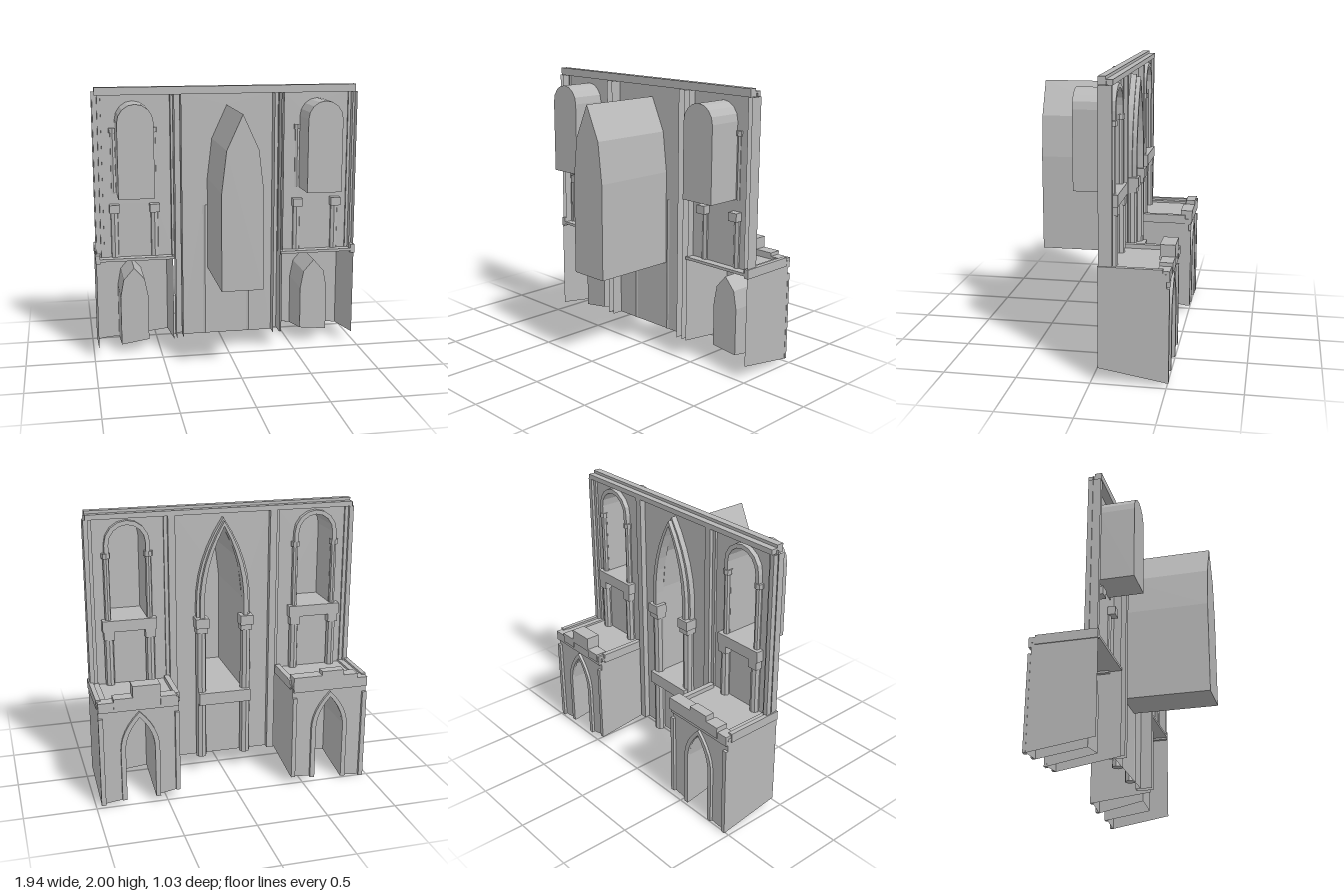
import * as THREE from 'three';
import { mergeGeometries } from 'three/addons/utils/BufferGeometryUtils.js';

export function createModel() {
  const model = new THREE.Group();
  const stone = new THREE.MeshStandardMaterial({ color: 0xb8b8b8, side: THREE.DoubleSide, flatShading: true });
  stone.name = 'stone grey';

  const add = (name, geo) => {
    const mesh = new THREE.Mesh(geo, stone);
    mesh.name = name;
    model.add(mesh);
    return mesh;
  };
  // Box given by its limits on each axis
  const box = (name, xa, xb, ya, yb, za, zb) => {
    const mesh = add(name, new THREE.BoxGeometry(Math.abs(xb - xa), yb - ya, Math.abs(zb - za)));
    mesh.position.set((xa + xb) / 2, (ya + yb) / 2, (za + zb) / 2);
  };
  const column = (name, x, z, r, ya, yb) => {
    const mesh = add(name, new THREE.CylinderGeometry(r, r, yb - ya, 8));
    mesh.position.set(x, (ya + yb) / 2, z);
  };
  // Hollow pilaster, open towards +z
  const channel = (name, xa, xb, ya, yb, zBack, zOpen) => {
    const plate = (w, x, z, turn) =>
      new THREE.PlaneGeometry(w, yb - ya).rotateY(turn).translate(x, (ya + yb) / 2, z);
    const depth = zOpen - zBack, mid = (zBack + zOpen) / 2;
    add(name, mergeGeometries([
      plate(xb - xa, (xa + xb) / 2, zBack, Math.PI),
      plate(depth, xa, mid, -Math.PI / 2),
      plate(depth, xb, mid, Math.PI / 2)]));
  };
  const toShape = (pts) => new THREE.Shape(pts.map(([x, y]) => new THREE.Vector2(x, y)));
  // Flat wall sheet with optional openings
  const sheet = (name, pts, z, holes = []) => {
    const shape = toShape(pts);
    shape.holes = holes.map(toShape);
    add(name, new THREE.ShapeGeometry(shape).translate(0, 0, z));
  };
  const rect = (xa, xb, ya, yb) => [[xa, ya], [xb, ya], [xb, yb], [xa, yb]];

  // Hollow recess joining the outline a at za to the outline b at zb, closed at zb
  const recess = (name, a, za, b, zb, floor = true) => {
    const p = [];
    const n = a.length;
    for (let i = 0; i < (floor ? n : n - 1); i++) {
      const j = (i + 1) % n;
      p.push(...a[i], za, ...a[j], za, ...b[j], zb, ...a[i], za, ...b[j], zb, ...b[i], zb);
    }
    const sides = new THREE.BufferGeometry();
    sides.setAttribute('position', new THREE.Float32BufferAttribute(p, 3));
    sides.computeVertexNormals();
    const end = new THREE.ShapeGeometry(toShape(b)).translate(0, 0, zb).toNonIndexed();
    end.deleteAttribute('uv');
    add(name, mergeGeometries([sides, end]));
  };

  // Outlines run from the right foot over the top to the left foot
  const pointed = (cx, w, yR, yL, spring, shoulder, top) => [
    [cx + w, yR], [cx + w, spring], [cx + w * 0.76, shoulder], [cx, top],
    [cx - w * 0.76, shoulder], [cx - w, spring], [cx - w, yL]];
  // Smoothly curved pointed arch for the mouldings
  const ogive = (cx, w, yR, yL, spring, top) => {
    const right = [], left = [];
    for (let i = 0; i <= 6; i++) {
      const u = i / 6, x = w * (1 - u ** 2.1), y = spring + (top - spring) * u;
      right.push([cx + x, y]);
      if (i < 6) left.unshift([cx - x, y]);
    }
    return [[cx + w, yR], ...right, ...left, [cx - w, yL]];
  };
  const rounded = (cx, w, y0, spring, rise) => {
    const pts = [[cx + w, y0]];
    for (let i = 0; i <= 8; i++) {
      const t = (i / 8) * Math.PI;
      pts.push([cx + w * Math.cos(t), spring + rise * Math.sin(t)]);
    }
    return [...pts, [cx - w, y0]];
  };
  // Moulding between two outlines
  const moulding = (name, outer, inner, za, zb) => add(name, new THREE.ExtrudeGeometry(
    toShape([...outer, ...[...inner].reverse()]),
    { depth: zb - za, bevelEnabled: false }).translate(0, 0, za));

  const wallZ = -0.105; // plane of the recessed wall sheets

  // Central bay with the tall pointed niche
  const tall = pointed(0, 0.145, 0.65, 0.65, 1.33, 1.62, 1.86);
  sheet('central wall', rect(-0.345, 0.338, 0.14, 1.95), wallZ, [tall]);
  recess('tall niche', tall, wallZ, tall, 0.515);
  moulding('tall arch outer moulding', ogive(0, 0.195, 1.2, 1.2, 1.3, 1.915),
    ogive(0, 0.165, 1.2, 1.2, 1.3, 1.885), -0.145, wallZ);
  moulding('tall arch inner moulding', ogive(0, 0.175, 1.2, 1.2, 1.3, 1.895),
    ogive(0, 0.143, 1.2, 1.2, 1.3, 1.86), -0.175, wallZ);
  box('niche sill', -0.19, 0.19, 0.56, 0.65, -0.2, wallZ);

  // Crowning cornice
  box('cornice', -0.948, 0.948, 1.945, 1.98, -0.145, -0.05);
  box('cornice cap', -0.948, 0.948, 1.98, 2, -0.1, -0.05);

  // Side bays and projecting blocks, with worn lower edges listed from inside out
  const sides = [
    { s: -1, low: [0.06, 0.04, 0.02, 0.005], niche: [0.1, 0.07], front: 0.07 },
    { s: 1, low: [0.08, 0.05, 0.05, 0.028], niche: [0.12, 0.1], front: 0.1 }];
  for (const { s, low, niche, front } of sides) {
    const cx = s > 0 ? 0.685 : -0.69;
    const ux = s > 0 ? 0.672 : -0.681;
    const sbox = (name, xa, xb, ...rest) => box(name, s * xa, s * xb, ...rest);
    const schannel = (name, xa, xb, ...rest) =>
      channel(name, Math.min(s * xa, s * xb), Math.max(s * xa, s * xb), ...rest);

    // Tall columns and pilasters
    column('tall niche column', s * 0.165, -0.137, 0.038, 0.14, 1.13);
    sbox('tall column capital', 0.115, 0.21, 1.14, 1.21, -0.192, wallZ);
    sbox('tall column necking', 0.122, 0.203, 1.1, 1.14, -0.18, wallZ);
    schannel('bay pilaster', 0.34, 0.39, 0.14, 1.945, -0.145, -0.022);
    schannel('bay pilaster flank', 0.39, 0.415, 0.76, 1.945, -0.12, -0.05);
    schannel('outer pilaster', 0.93, 0.962, 0.765, 1.945, -0.14, -0.05);
    schannel('outer pilaster fillet', 0.905, 0.93, 0.765, 1.945, -0.12, -0.09);

    // Upper round headed niche
    const small = rounded(ux, 0.127, 1.24, 1.77, 0.13);
    sheet('side wall', rect(ux - 0.288, ux + 0.288, 0.755, 1.97), wallZ, [small]);
    recess('round niche', small, wallZ, small, 0.145);
    moulding('round arch moulding', rounded(ux, 0.157, 1.7, 1.77, 0.16),
      rounded(ux, 0.127, 1.7, 1.77, 0.13), -0.14, wallZ);
    box('niche shelf', ux - 0.19, ux + 0.19, 1.16, 1.24, -0.16, wallZ);
    for (const d of [-0.145, 0.145]) {
      const x = ux + d;
      column('round niche column', x, -0.118, 0.022, 1.24, 1.7);
      column('round niche capital', x, -0.118, 0.032, 1.675, 1.71);
      column('shelf column', x, -0.12, 0.033, 0.765, 1.12);
      box('shelf column capital', x - 0.036, x + 0.036, 1.1, 1.16, -0.157, -0.05);
    }

    // Lower block: pierced outer face, side walls and top
    const order = s > 0 ? [1, 2] : [2, 1];
    const xL = cx - 0.103, xR = cx + 0.103;
    const mouth = pointed(cx, 0.103, low[order[1]], low[order[0]], 0.44, 0.57, 0.66);
    const inner = pointed(cx, 0.103, niche[s > 0 ? 1 : 0], niche[s > 0 ? 0 : 1], 0.44, 0.57, 0.66);
    const [endR, endL] = s > 0 ? [low[3], low[0]] : [low[0], low[3]];
    const edge = s > 0 ? [0.41, 0.965] : [-0.965, -0.41];
    sheet('block face', [[edge[1], endR], [edge[1], 0.755], [edge[0], 0.755], [edge[0], endL],
      [xL, low[order[0]]], ...[...mouth].reverse().slice(1, -1), [xR, low[order[1]]]], -0.49);
    recess('lower niche', mouth, -0.49, inner, -0.15, false);
    moulding('lower arch moulding', ogive(cx, 0.135, low[order[1]], low[order[0]], 0.42, 0.7),
      ogive(cx, 0.102, low[order[1]], low[order[0]], 0.42, 0.66), -0.51, -0.49);
    for (const [name, x, yFront, yBack] of [
      ['block outer wall', 0.965, front, low[3]], ['block inner wall', 0.41, 0.13, low[0]]]) {
      const geo = new THREE.ShapeGeometry(toShape([
        [0.045, yFront], [0.49, yBack], [0.49, 0.755], [0.045, 0.755]]));
      add(name, geo.rotateY(Math.PI / 2).translate(s * x, 0, 0));
    }
    sbox('block corner strip', 0.935, 0.967, low[3], 0.67, -0.51, -0.49);
    sbox('block corner strip', 0.41, 0.44, low[0], 0.67, -0.51, -0.49);
    sbox('block top', 0.4, 0.968, 0.745, 0.765, -0.49, -0.045);
    sbox('outer parapet', 0.94, 0.972, 0.73, 0.795, -0.465, -0.045);
    sbox('outer parapet step', 0.9, 0.94, 0.765, 0.78, -0.43, wallZ);
    sbox('inner parapet', 0.398, 0.435, 0.73, 0.795, -0.465, -0.13);
    sbox('rear parapet', 0.415, 0.965, 0.715, 0.785, -0.51, -0.43);
  }

  // Broken stones left on the parapets
  const stones = [
    [-0.62, -0.41, 0.83, -0.43], [-0.78, -0.62, 0.86, -0.45], [-0.885, -0.78, 0.82, -0.43],
    [0.54, 0.73, 0.89, -0.415], [0.73, 0.86, 0.81, -0.43], [0.43, 0.54, 0.8, -0.43]];
  for (const [xa, xb, top, z] of stones) box('parapet stone', xa, xb, top > 0.88 ? 0.785 : 0.74, top, -0.518, z);

  return model;
}
